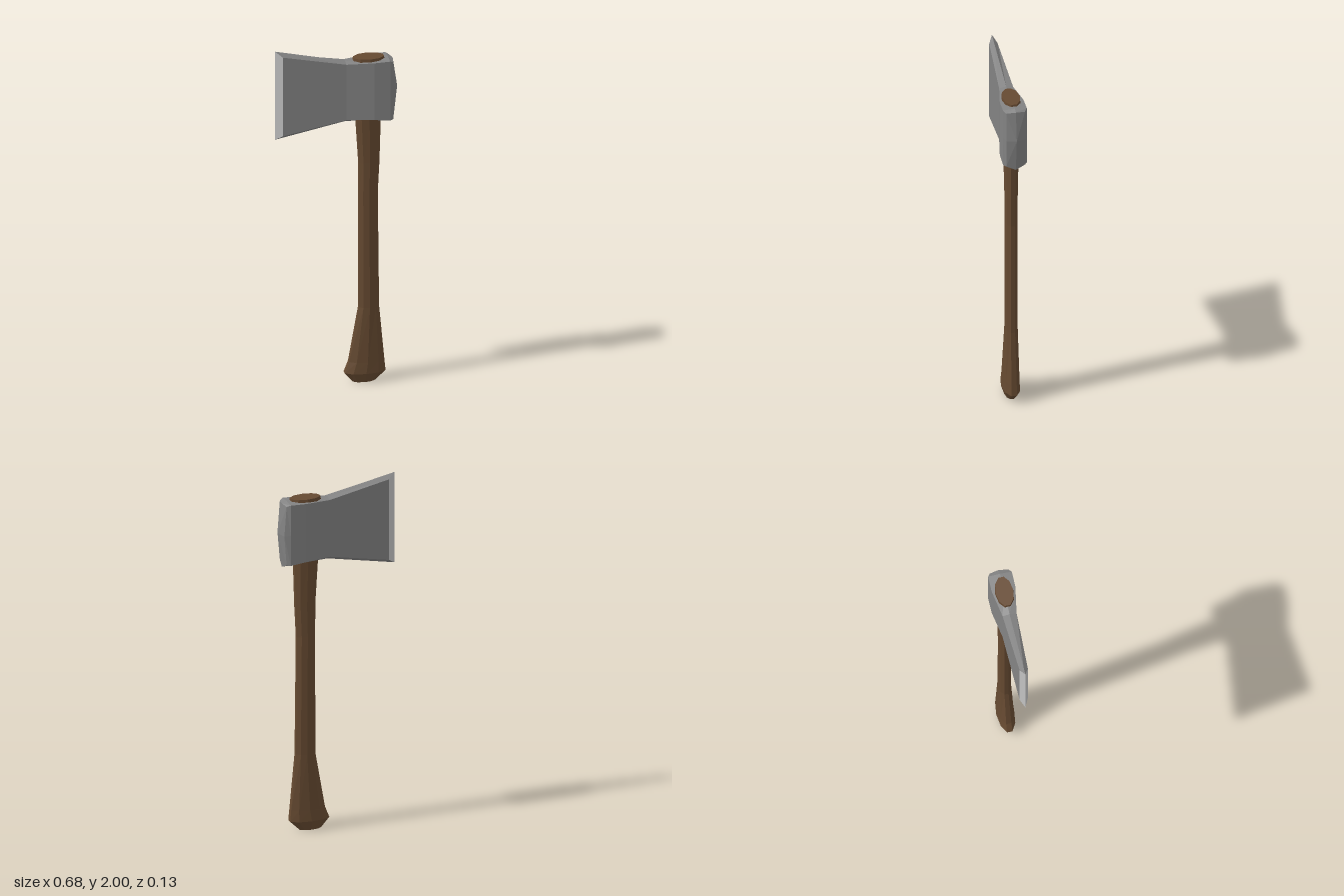
import * as THREE from 'three';

// Skin a row of equal-length point rings; keep(side) chooses which strips to build.
function loft(rings, { startCap, endCap, keep = () => true } = {}) {
  const pos = [];
  const tri = (a, b, c) => pos.push(...a, ...b, ...c);
  const n = rings[0].length;
  for (let i = 0; i < rings.length - 1; i++) {
    const a = rings[i], b = rings[i + 1];
    for (let j = 0; j < n; j++) {
      if (!keep(j)) continue;
      const k = (j + 1) % n;
      tri(a[j], a[k], b[k]);
      tri(a[j], b[k], b[j]);
    }
  }
  const first = rings[0], last = rings[rings.length - 1];
  for (let j = 0; j < n; j++) {
    const k = (j + 1) % n;
    if (startCap) tri(startCap, first[k], first[j]);
    if (endCap) tri(endCap, last[j], last[k]);
  }
  const geo = new THREE.BufferGeometry();
  geo.setAttribute('position', new THREE.Float32BufferAttribute(pos, 3));
  geo.computeVertexNormals();
  return geo;
}

// Ten-sided handle ring spanning x0..x1, with half depth rz
function handleRing([y, x0, x1, rz]) {
  const cx = (x0 + x1) / 2, rx = (x1 - x0) / 2 / Math.cos(Math.PI / 10);
  return Array.from({ length: 10 }, (_, i) => {
    const a = (i + 0.5) * Math.PI / 5;
    return [cx + rx * Math.cos(a), y, -rz * Math.sin(a)];
  });
}

// Eight-point head section: top ridge, +z side, bottom ridge, -z side
function headRing([x, z, top, hi, lo, bottom, ridgeX = x, midX = x]) {
  const mid = (hi + lo) / 2;
  return [
    [ridgeX, top, 0], [x, hi, z], [midX, mid, z], [x, lo, z],
    [ridgeX, bottom, 0], [x, lo, -z], [midX, mid, -z], [x, hi, -z],
  ];
}

export function createModel() {
  const group = new THREE.Group();
  const wood = new THREE.MeshStandardMaterial({ color: 0x664a31 });
  const steel = new THREE.MeshStandardMaterial({ color: 0x838383 });
  const sharpSteel = new THREE.MeshStandardMaterial({ color: 0xc4c4c4 });
  for (const [m, name] of [[wood, 'wood'], [steel, 'steel'], [sharpSteel, 'sharpened steel']]) m.name = name;

  const add = (name, geo, mat) => {
    const mesh = new THREE.Mesh(geo, mat);
    mesh.name = name;
    group.add(mesh);
  };

  // Handle: flared knob, slim grip, widening through the head
  const handle = [
    [0.0, 0.09, 0.215, 0.032],
    [0.055, 0.045, 0.272, 0.05],
    [0.12, 0.07, 0.266, 0.047],
    [0.44, 0.125, 0.237, 0.037],
    [1.12, 0.125, 0.23, 0.036],
    [1.3, 0.125, 0.239, 0.037],
    [1.55, 0.11, 0.246, 0.042],
    [1.9, 0.093, 0.268, 0.052],
    [1.925, 0.097, 0.264, 0.049],
  ].map(handleRing);
  add('handle', loft(handle, { startCap: [0.152, 0, 0], endCap: [0.18, 1.925, 0] }), wood);

  // Head sections: x, half depth, top ridge, side top, side bottom, bottom ridge
  const edge = headRing([-0.34, 0, 2.0, 2.0, 1.475, 1.475]);
  const bevel = headRing([-0.3, 0.023, 1.991, 1.97, 1.502, 1.483]);
  const body = [
    bevel,
    headRing([0.05, 0.039, 1.91, 1.902, 1.573, 1.55]),
    headRing([0.2, 0.066, 1.912, 1.908, 1.57, 1.545]),
    headRing([0.288, 0.066, 1.915, 1.91, 1.56, 1.537]),
    headRing([0.307, 0.052, 1.905, 1.9, 1.56, 1.537, 0.315, 0.32]),
  ];
  add('axeHead', loft(body, { endCap: [0.34, 1.735, 0] }), steel);

  // Cutting bevel: bright flanks, plain steel above and below
  const isFlank = (j) => j % 4 === 1 || j % 4 === 2;
  add('cuttingEdge', loft([edge, bevel], { keep: isFlank }), sharpSteel);
  add('edgeTips', loft([edge, bevel], { keep: (j) => !isFlank(j) }), steel);

  return group;
}
